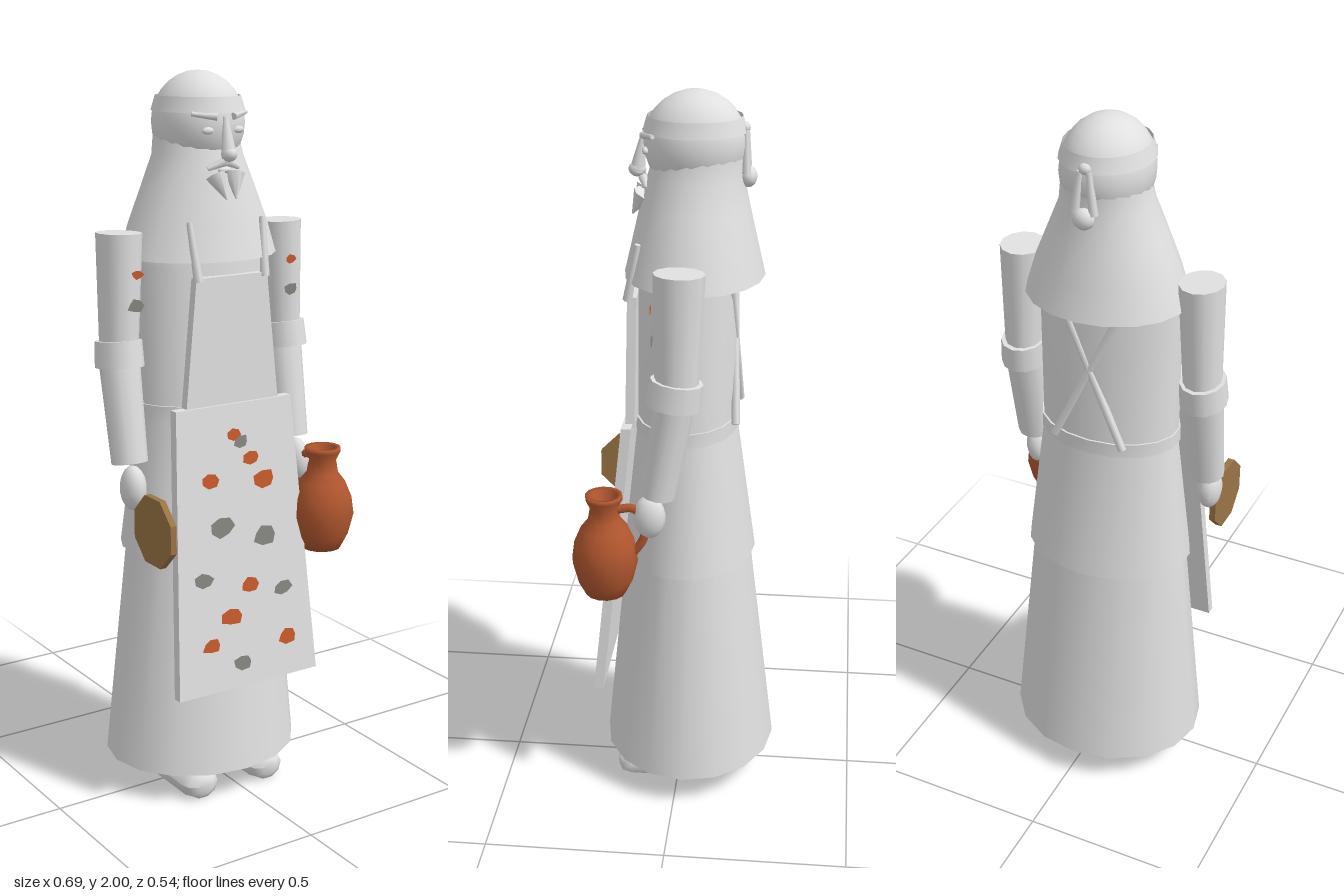
import * as THREE from 'three';

export function createModel() {
  const root = new THREE.Group();
  const mat = (name, color, side = THREE.FrontSide) => {
    const m = new THREE.MeshStandardMaterial({ color, side });
    m.name = name;
    return m;
  };
  const cloth = mat('pale grey', 0xe0e0e0, THREE.DoubleSide);
  const clay = mat('terracotta', 0xb2572f, THREE.DoubleSide);
  const orange = mat('orange spot', 0xc8592c, THREE.DoubleSide);
  const grey = mat('grey spot', 0x85857f, THREE.DoubleSide);
  const wood = mat('wood', 0x9a7446);

  const body = new THREE.Group(); // figure centre line is slightly off x = 0
  body.name = 'figure';
  body.position.x = -0.018;
  root.add(body);

  const add = (name, geo, m = cloth, pos = [0, 0, 0], parent = body) => {
    const mesh = new THREE.Mesh(geo, m);
    mesh.name = name;
    mesh.position.set(...pos);
    parent.add(mesh);
    return mesh;
  };
  const V = (p) => new THREE.Vector3(...p);

  // Loft of elliptical rings [y, rx, rz, cz]
  const loft = (rings, n = 18, capBottom = true, capTop = false) => {
    const pos = [], idx = [];
    const cap = (r) => {
      const c = pos.length / 3;
      for (let i = 0; i < n; i++) {
        const a = (i / n) * Math.PI * 2;
        pos.push(Math.sin(a) * r[1], r[0], r[3] + Math.cos(a) * r[2]);
      }
      return c;
    };
    rings.forEach(cap);
    for (let j = 0; j < rings.length - 1; j++) for (let i = 0; i < n; i++) {
      const k = (i + 1) % n, a = j * n + i, b = j * n + k;
      idx.push(a, b, b + n, a, b + n, a + n);
    }
    if (capBottom) {
      const c = cap(rings[0]);
      for (let i = 1; i < n - 1; i++) idx.push(c, c + i + 1, c + i);
    }
    if (capTop) {
      const c = cap(rings[rings.length - 1]);
      for (let i = 1; i < n - 1; i++) idx.push(c, c + i, c + i + 1);
    }
    const g = new THREE.BufferGeometry();
    g.setAttribute('position', new THREE.Float32BufferAttribute(pos, 3));
    g.setIndex(idx);
    g.computeVertexNormals();
    return g;
  };

  // Tapered limb between two points
  const limb = (name, a, b, ra, rb, n = 12, sz = 1) => {
    const A = V(a), B = V(b), d = A.clone().sub(B);
    const mesh = add(name, new THREE.CylinderGeometry(ra, rb, d.length(), n), cloth,
      A.clone().add(B).multiplyScalar(0.5).toArray());
    mesh.quaternion.setFromUnitVectors(new THREE.Vector3(0, 1, 0), d.normalize());
    mesh.scale.z = sz;
    return mesh;
  };
  const ball = (name, pos, s, n = 12, m = cloth) => {
    const mesh = add(name, new THREE.SphereGeometry(1, n, Math.ceil(n * 0.7)), m, pos);
    mesh.scale.set(...s);
    return mesh;
  };

  // Garments
  add('longSkirt', loft([[0.085, 0.283, 0.246, -0.025], [1.13, 0.185, 0.13, -0.015]], 16));
  add('overTunic', loft([[0.71, 0.24, 0.186, -0.022], [1.13, 0.19, 0.134, -0.015]], 18, false));
  add('torso', loft([[1.08, 0.195, 0.138, -0.015], [1.5, 0.2, 0.133, -0.015],
    [1.6, 0.19, 0.11, -0.02], [1.66, 0.1, 0.08, -0.03]], 18, true, true));
  add('waistTie', loft([[1.085, 0.2, 0.143, -0.015], [1.125, 0.2, 0.143, -0.015]], 18, true, true));
  add('hoodCape', loft([[1.515, 0.222, 0.188, -0.034], [1.6, 0.196, 0.168, -0.034],
    [1.7, 0.155, 0.145, -0.034], [1.78, 0.122, 0.126, -0.036], [1.84, 0.112, 0.118, -0.045]], 18, true, true));

  // Apron panels: a box whose top and bottom edges have their own width and depth
  const panel = (name, y0, y1, w0, w1, z0, z1, t) => {
    const g = new THREE.BoxGeometry(1, 1, t), p = g.attributes.position;
    for (let i = 0; i < p.count; i++) {
      const low = p.getY(i) < 0;
      p.setXYZ(i, p.getX(i) * 2 * (low ? w0 : w1), low ? y0 : y1, p.getZ(i) - t / 2 + (low ? z0 : z1));
    }
    g.computeVertexNormals();
    return add(name, g);
  };
  panel('apronSkirt', 0.345, 1.13, 0.228, 0.185, 0.23, 0.147, 0.027);
  panel('apronBib', 1.12, 1.475, 0.148, 0.112, 0.14, 0.135, 0.025);
  for (const s of [1, -1]) {
    limb('frontStrap', [s * 0.115, 1.62, 0.105], [s * 0.105, 1.465, 0.135], 0.008, 0.013, 6);
    limb('backStrap', [s * 0.09, 1.53, -0.135], [-s * 0.1, 1.12, -0.155], 0.011, 0.011, 6);
  }

  // Irregular painted spots
  let seed = 7;
  const rnd = () => (seed = (seed * 16807) % 2147483647) / 2147483647;
  const spot = (r, m, pos, tilt = 0) => {
    const sh = new THREE.Shape();
    for (let i = 0; i < 7; i++) {
      const a = (i / 7) * Math.PI * 2, k = r * (0.75 + rnd() * 0.4);
      sh[i ? 'lineTo' : 'moveTo'](Math.cos(a) * k * 1.15, Math.sin(a) * k * 0.85);
    }
    add('paintedSpot', new THREE.ShapeGeometry(sh), m, pos, root).rotation.x = tilt;
  };
  const slope = (0.23 - 0.147) / (1.13 - 0.345);
  const onApron = (list, m) => list.forEach(([x, y, r]) =>
    spot(r, m, [x, y, 0.15 + (1.13 - y) * slope], -Math.atan(slope)));
  onApron([[-0.005, 1.025, 0.022], [-0.08, 0.8, 0.034], [0.055, 0.755, 0.034],
    [-0.148, 0.665, 0.026], [0.107, 0.597, 0.026], [-0.037, 0.413, 0.026]], grey);
  onApron([[-0.025, 1.046, 0.023], [0.027, 0.977, 0.025], [-0.11, 0.932, 0.027], [0.064, 0.912, 0.031],
    [0, 0.625, 0.026], [-0.064, 0.548, 0.031], [-0.134, 0.48, 0.027], [0.116, 0.458, 0.027]], orange);

  // Arms, hands and feet
  for (const s of [1, -1]) {
    limb('upperArm', [s * 0.256, 1.59, -0.017], [s * 0.265, 1.25, -0.01], 0.06, 0.05, 12, 1.12);
    limb('sleeveCuff', [s * 0.265, 1.305, -0.012], [s * 0.267, 1.235, -0.003], 0.061, 0.064, 12, 1.15);
    limb('forearm', [s * 0.265, 1.26, -0.01], [s * 0.265, 0.98, 0.04], 0.056, 0.05, 12, 0.95);
    ball('hand', [s * 0.268, 0.915, 0.062], [0.034, 0.062, 0.044]);
    spot(0.016, orange, [s * 0.244 - 0.018, 1.487, 0.058], 0.02);
    spot(0.021, grey, [s * 0.25 - 0.018, 1.405, 0.055], 0.02);
    // shoe: flattened rounded tube along z
    const shoe = add('shoe', new THREE.CapsuleGeometry(0.055, 0.17, 3, 10), cloth, [s * 0.11, 0.042, 0.05]);
    shoe.geometry.rotateX(Math.PI / 2);
    const p = shoe.geometry.attributes.position;
    for (let i = 0; i < p.count; i++) {
      p.setY(i, Math.max(p.getY(i), -0.042) * (p.getY(i) > 0 ? 0.7 : 1));
      p.setZ(i, THREE.MathUtils.clamp(p.getZ(i), -0.125, 0.125));
    }
    shoe.geometry.computeVertexNormals();
  }

  // Head and headcloth
  ball('head', [0, 1.865, -0.033], [0.121, 0.135, 0.135], 20);
  add('headBand', loft([[1.895, 0.122, 0.136, -0.033], [1.935, 0.11, 0.124, -0.033]], 20, false));
  limb('nose', [0, 1.885, 0.1], [0, 1.785, 0.118], 0.007, 0.021, 8);
  ball('noseTip', [0, 1.79, 0.118], [0.021, 0.02, 0.024], 8);
  for (const s of [1, -1]) {
    limb('brow', [s * 0.025, 1.885, 0.1], [s * 0.085, 1.893, 0.068], 0.01, 0.006, 6);
    ball('eye', [s * 0.047, 1.85, 0.09], [0.019, 0.01, 0.01], 8);
    limb('moustache', [s * 0.003, 1.77, 0.103], [s * 0.048, 1.752, 0.089], 0.012, 0.006, 6);
    limb('beardPoint', [s * 0.03, 1.735, 0.098], [s * 0.015, 1.675, 0.13], 0.028, 0.002, 7);
    limb('knotTail', [s * 0.012, 1.9, -0.165], [s * 0.026, 1.79, -0.168], 0.008, 0.012, 6);
  }
  ball('lowerLip', [0, 1.748, 0.098], [0.022, 0.008, 0.01], 8);
  ball('headclothKnot', [0, 1.778, -0.172], [0.03, 0.028, 0.024], 10);
  ball('tieKnot', [0, 1.905, -0.162], [0.018, 0.015, 0.014], 8);

  // Clay jug
  const jug = new THREE.Group();
  jug.name = 'jug';
  jug.position.set(0.255, 0, 0.183);
  root.add(jug);
  const profile = [[0, 0.685], [0.055, 0.685], [0.075, 0.725], [0.09, 0.785], [0.083, 0.835], [0.064, 0.88],
    [0.044, 0.905], [0.038, 0.94], [0.05, 0.965], [0.05, 0.977], [0.036, 0.975], [0.03, 0.93], [0, 0.9]];
  add('jugBody', new THREE.LatheGeometry(profile.map(([r, y]) => new THREE.Vector2(r, y)), 14), clay, [0, 0, 0], jug);
  const path = new THREE.CatmullRomCurve3([[0, 0.935, -0.035], [0, 0.94, -0.08],
    [0, 0.9, -0.108], [0, 0.85, -0.105], [0, 0.81, -0.08]].map(V));
  add('jugHandle', new THREE.TubeGeometry(path, 12, 0.012, 7), clay, [0, 0, 0], jug);

  // Wooden palette board: thin octagon held edge-on
  const board = new THREE.CylinderGeometry(0.1, 0.1, 0.018, 8).toNonIndexed();
  board.computeVertexNormals();
  board.rotateZ(Math.PI / 2);
  board.rotateX(Math.PI / 8);
  add('woodenBoard', board, wood, [-0.288, 0.825, 0.178], root);

  return root;
}
